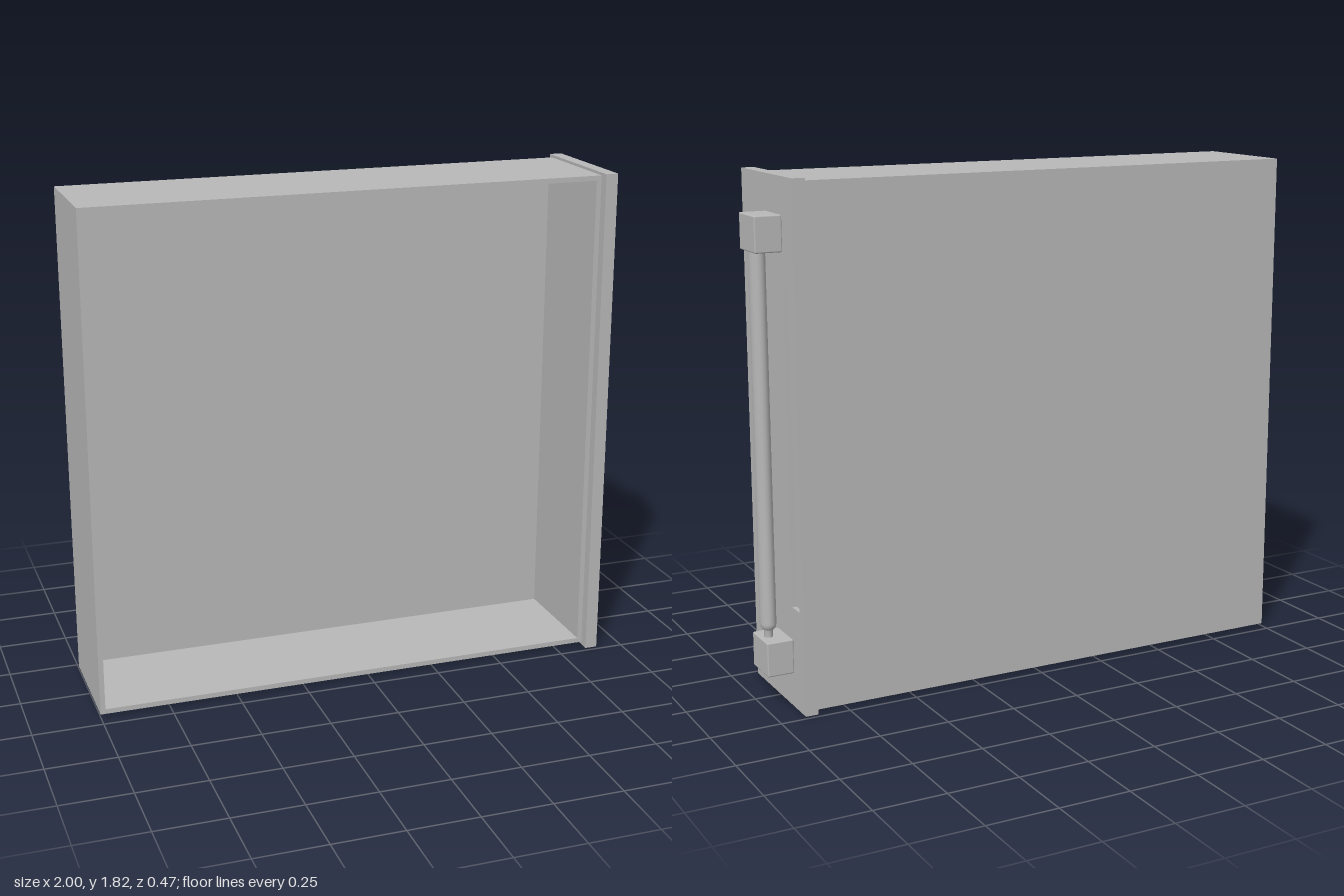
import * as THREE from 'three';
import { RoundedBoxGeometry } from 'three/addons/geometries/RoundedBoxGeometry.js';

const grey = new THREE.MeshStandardMaterial({ color: 0xb8b8b8 });
grey.name = 'grey';

function rect(path, x0, y0, x1, y1) {
  path.moveTo(x0, y0);
  path.lineTo(x1, y0);
  path.lineTo(x1, y1);
  path.lineTo(x0, y1);
  path.closePath();
  return path;
}

// Rectangular plate with a rectangular opening; outer and inner are [x0, y0, x1, y1]
function frame(outer, inner, depth) {
  const shape = rect(new THREE.Shape(), ...outer);
  shape.holes.push(rect(new THREE.Path(), ...inner));
  return new THREE.ExtrudeGeometry(shape, { depth, bevelEnabled: false });
}

export function createModel() {
  const model = new THREE.Group();
  model.name = 'drawer';
  const add = (name, geometry, x = 0, y = 0, z = 0) => {
    const mesh = new THREE.Mesh(geometry, grey);
    mesh.name = name;
    mesh.position.set(x, y, z);
    model.add(mesh);
    return mesh;
  };

  // Open tray: four thin walls around a back panel
  add('trayWalls', frame([-1, 0.01, 0.86, 1.805], [-0.982, 0.028, 0.842, 1.787], 0.395), 0, 0, -0.2);
  add('trayBase', new THREE.BoxGeometry(1.86, 1.795, 0.015), -0.07, 0.9075, -0.2075);

  // End panel with a shallow recessed slot
  add('endPanel', new THREE.BoxGeometry(0.03, 1.815, 0.465), 0.875, 0.9075, 0);
  const face = frame([-0.2325, 0, 0.2325, 1.815], [0.133, 0.36, 0.198, 1.45], 0.015);
  face.rotateY(Math.PI / 2);
  add('slottedFace', face, 0.89, 0, 0);

  // Handle mounts
  for (const [name, y] of [['lowerMount', 0.185], ['upperMount', 1.63]]) {
    add(name, new RoundedBoxGeometry(0.095, 0.122, 0.142, 2, 0.005), 0.9525, y, -0.065);
  }

  // Slightly flattened grip with a rounded lower end and a narrow neck
  const profile = [
    [0.019, 0.24], [0.019, 0.272], [0.026, 0.275], [0.032, 0.282],
    [0.035, 0.295], [0.035, 1.575],
  ].map(([r, y]) => new THREE.Vector2(r, y));
  const grip = add('grip', new THREE.LatheGeometry(profile, 32), 0.968, 0, -0.063);
  grip.scale.x = 0.78;

  return model;
}
